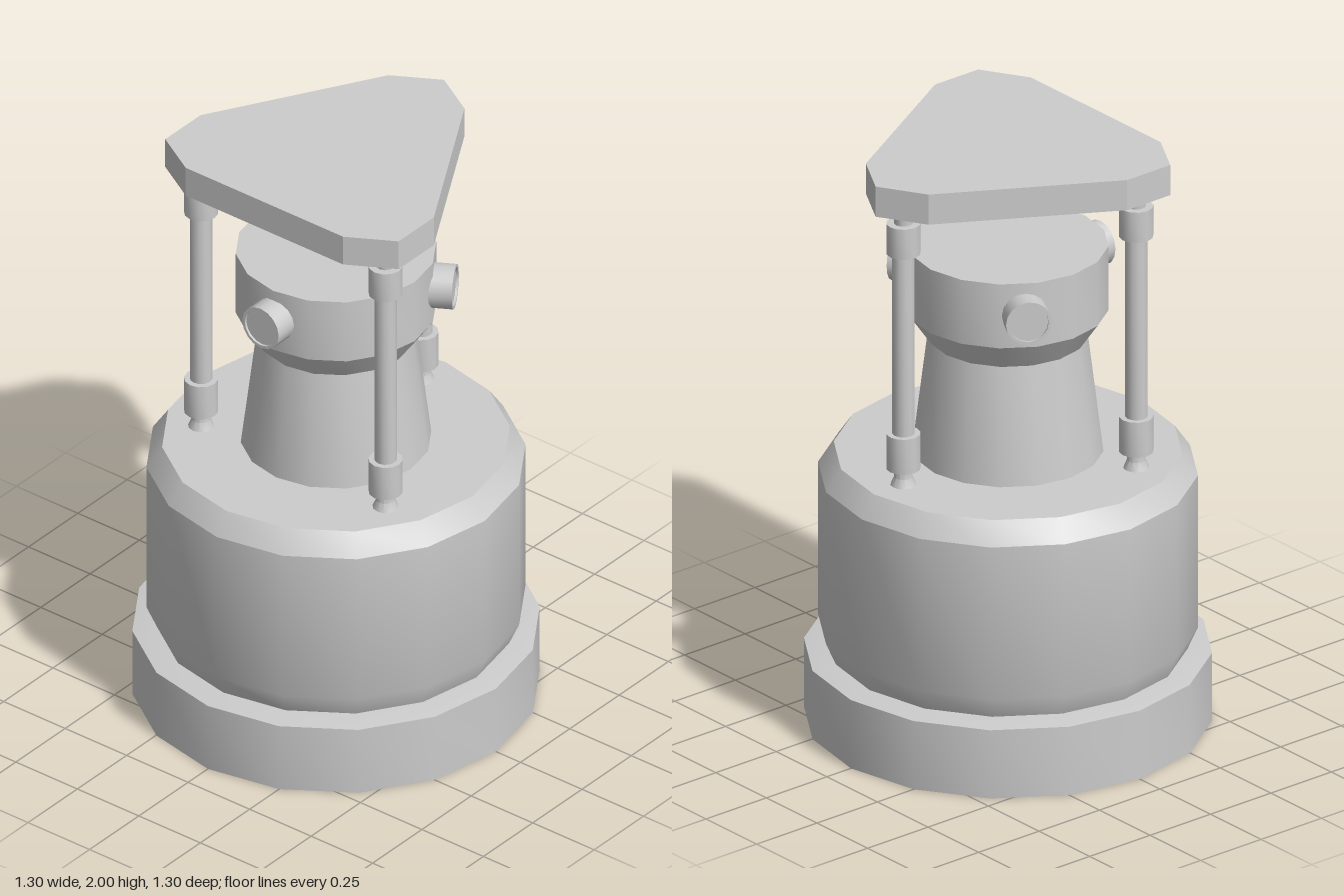
import * as THREE from 'three';
import { toCreasedNormals } from 'three/addons/utils/BufferGeometryUtils.js';

const material = new THREE.MeshStandardMaterial({ color: 0xcccccc });

// Closed solid of revolution from [radius, height] pairs, bottom to top.
function turned(name, profile, sides) {
  const points = profile.map(([r, y]) => new THREE.Vector2(r, y));
  const geometry = toCreasedNormals(new THREE.LatheGeometry(points, sides), 0.56);
  const mesh = new THREE.Mesh(geometry, material);
  mesh.name = name;
  return mesh;
}

// Flat plate: a triangle with a blunt point at each of its three corners.
function topPlate() {
  const outline = [];
  for (let i = 0; i < 3; i++) {
    const corner = -Math.PI / 2 + (i * Math.PI * 2) / 3;
    for (const [offset, r] of [[-0.325, 0.484], [0, 0.548], [0.325, 0.484]]) {
      const a = corner + offset;
      outline.push(new THREE.Vector2(r * Math.cos(a), r * Math.sin(a)));
    }
  }
  const geometry = new THREE.ExtrudeGeometry(new THREE.Shape(outline), { depth: 0.105, bevelEnabled: false });
  geometry.rotateX(Math.PI / 2);
  const mesh = new THREE.Mesh(geometry, material);
  mesh.name = 'topPlate';
  mesh.position.y = 2;
  return mesh;
}

export function createModel() {
  const model = new THREE.Group();
  model.name = 'model';

  // Wide foot and chamfered drum
  model.add(turned('base', [[0, 0], [0.65, 0], [0.65, 0.238], [0.57, 0.25], [0, 0.25]], 16));
  model.add(turned('drum', [[0, 0.245], [0.57, 0.245], [0.605, 0.325], [0.605, 0.855], [0.555, 0.928], [0, 0.928]], 16));

  // Tapered neck flaring into the head
  model.add(turned('neck', [[0, 0.92], [0.305, 0.92], [0.255, 1.33], [0, 1.33]], 16));
  model.add(turned('head', [[0, 1.325], [0.255, 1.325], [0.32, 1.42], [0.32, 1.643], [0, 1.643]], 16));

  // Three struts with flared ends and collars, and three knobs between them
  const strutProfile = [
    [0, 0.925], [0.043, 0.925], [0.03, 0.955], [0.03, 0.985], [0.055, 0.985], [0.055, 1.107],
    [0.036, 1.107], [0.036, 1.735], [0.055, 1.735], [0.055, 1.84],
    [0.03, 1.84], [0.03, 1.865], [0.043, 1.9], [0, 1.9],
  ];
  const knobProfile = [[0, 0.27], [0.074, 0.27], [0.074, 0.383], [0.064, 0.383], [0.064, 0.375], [0, 0.375]];
  for (let i = 0; i < 3; i++) {
    const angle = (i * Math.PI * 2) / 3;

    const strut = turned('strut', strutProfile, 12);
    strut.position.set(-0.433 * Math.sin(angle), 0, -0.433 * Math.cos(angle));
    model.add(strut);

    const knob = turned('knob', knobProfile, 16);
    knob.rotation.set(Math.PI / 2, angle, 0, 'YXZ');
    knob.position.y = 1.533;
    model.add(knob);
  }

  model.add(topPlate());
  return model;
}
